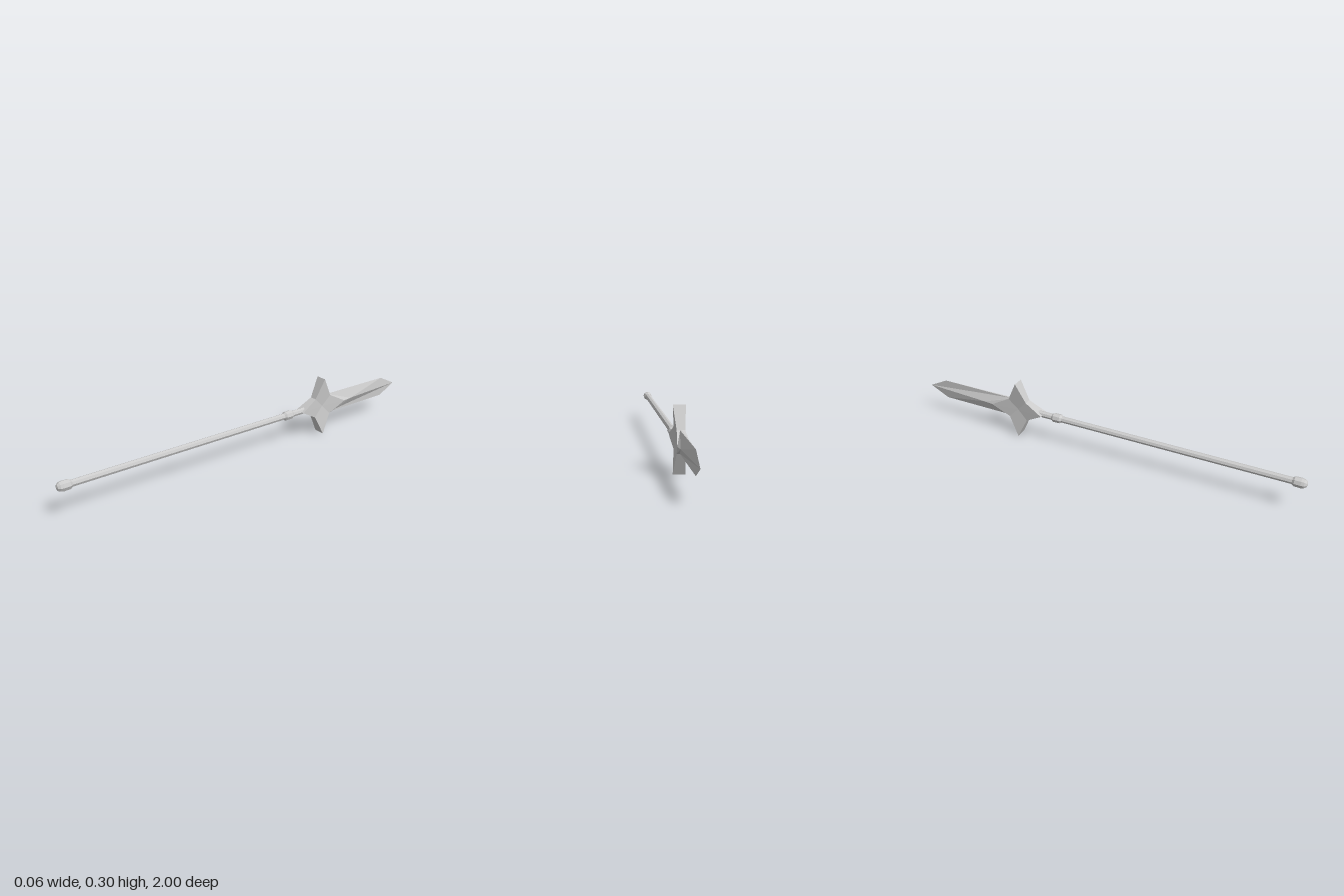
import * as THREE from 'three';

const AXIS_Y = 0.15;

export function createModel() {
  const group = new THREE.Group();
  const material = new THREE.MeshStandardMaterial({ color: 0xcccccc, flatShading: true });

  const add = (name, geometry) => {
    const mesh = new THREE.Mesh(geometry, material);
    mesh.name = name;
    mesh.position.y = AXIS_Y;
    group.add(mesh);
  };

  // Eight-sided part turned around the z axis; profile is [radius, z], z rising
  const turned = (name, profile) => {
    const points = profile.map(([r, z]) => new THREE.Vector2(r, z));
    add(name, new THREE.LatheGeometry(points, 8).rotateX(Math.PI / 2));
  };

  // Flat polygons (corners counter-clockwise), optionally mirrored across x = 0
  const faceted = (name, polygons, mirrored = []) => {
    const flip = (polygon) => polygon.map(([x, y, z]) => [-x, y, z]).reverse();
    const positions = [];
    for (const p of [...polygons, ...mirrored, ...mirrored.map(flip)]) {
      for (let i = 1; i < p.length - 1; i++) positions.push(...p[0], ...p[i], ...p[i + 1]);
    }
    const geometry = new THREE.BufferGeometry();
    geometry.setAttribute('position', new THREE.Float32BufferAttribute(positions, 3));
    geometry.computeVertexNormals();
    add(name, geometry);
  };

  // Shaft, rounded pommel and collar
  turned('shaft', [[0, -0.4], [0.016, -0.4], [0.016, 0.95], [0, 0.95]]);
  turned('pommel', [
    [0.016, 0.932], [0.023, 0.942], [0.024, 0.972], [0.021, 0.986], [0.013, 0.996], [0, 1],
  ]);
  turned('collar', [
    [0.016, -0.264], [0.023, -0.254], [0.023, -0.218], [0.016, -0.208],
  ]);

  // Four-pointed star guard, thick at its points and hollowed to the middle
  const star = [
    [0.028, 0, -0.6], [0.018, 0.05, -0.505], [0.028, 0.15, -0.455], [0.018, 0.05, -0.405],
    [0.028, 0, -0.315], [0.018, -0.05, -0.405], [0.028, -0.15, -0.455], [0.018, -0.05, -0.505],
  ];
  const centre = [0.013, 0, -0.455];
  const rim = [];
  const faces = [];
  star.forEach((a, i) => {
    const b = star[(i + 1) % star.length];
    faces.push([centre, a, b]);
    rim.push([a, [-a[0], a[1], a[2]], [-b[0], b[1], b[2]], b]);
  });
  faceted('starGuard', rim, faces);

  // Ridged blade with a bevel stepping down from the star's forward point
  const ridge = [0.022, 0, -0.65];
  const tip = [0, 0, -1];
  const starTip = star[0];
  const bladeSides = [];
  for (const s of [1, -1]) {
    const corner = [0.018, 0.05 * s, -0.505];
    const root = [0.004, 0.05 * s, -0.505];
    const shoulder = [0, 0.05 * s, -0.9];
    const panels = [
      [ridge, tip, shoulder, root],
      [starTip, ridge, root, corner],
    ];
    // Thin top edge that closes the two sides near the root
    const edge = [root, shoulder, [0, 0.05 * s, -0.505]];
    for (const p of [...panels, edge]) bladeSides.push(s > 0 ? p : p.reverse());
  }
  faceted('blade', [], bladeSides);

  return group;
}
